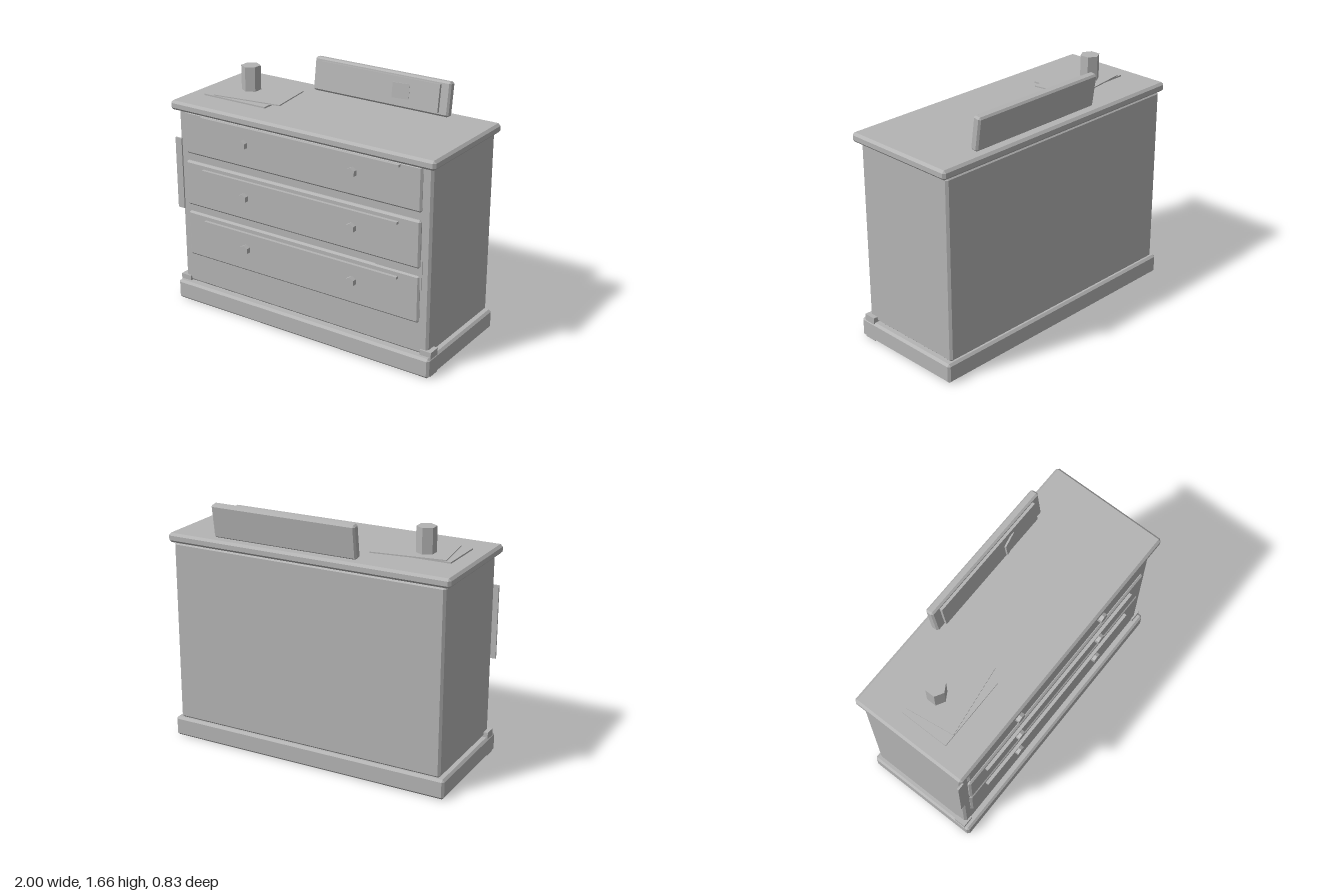
import * as THREE from 'three';
import { ConvexGeometry } from 'three/addons/geometries/ConvexGeometry.js';

const grey = new THREE.MeshStandardMaterial({ color: 0xb4b4b4, flatShading: true });
grey.name = 'plain grey';

// Box given by its limits, with one flat chamfer of size c on every edge
function chamferBox([x0, x1], [y0, y1], [z0, z1], c) {
  const h = [(x1 - x0) / 2, (y1 - y0) / 2, (z1 - z0) / 2];
  const points = [];
  for (const sx of [-1, 1]) for (const sy of [-1, 1]) for (const sz of [-1, 1]) {
    for (let face = 0; face < 3; face++) {
      const d = h.map((v, i) => (i === face ? v : v - c));
      points.push(new THREE.Vector3(sx * d[0], sy * d[1], sz * d[2]));
    }
  }
  return new ConvexGeometry(points).translate((x0 + x1) / 2, (y0 + y1) / 2, (z0 + z1) / 2);
}

function plainBox([x0, x1], [y0, y1], [z0, z1]) {
  return new THREE.BoxGeometry(x1 - x0, y1 - y0, z1 - z0)
    .translate((x0 + x1) / 2, (y0 + y1) / 2, (z0 + z1) / 2);
}

function add(parent, name, geometry) {
  const mesh = new THREE.Mesh(geometry, grey);
  mesh.name = name;
  parent.add(mesh);
  return mesh;
}

function makeDrawer(y0, y1, stripY, knobY) {
  const drawer = new THREE.Group();
  drawer.name = 'drawer';
  add(drawer, 'drawerFront', chamferBox([-0.905, 0.9], [y0, y1], [0.33, 0.383], 0.012));
  add(drawer, 'drawerStrip', plainBox([-0.755, 0.75], [stripY - 0.008, stripY + 0.008], [0.37, 0.405]));
  for (const x of [-0.42, 0.415]) {
    const knob = add(drawer, 'knob', new THREE.CylinderGeometry(0.034, 0.034, 0.045, 6));
    knob.rotation.x = Math.PI / 2;
    knob.position.set(x, knobY, 0.3925);
  }
  return drawer;
}

export function createModel() {
  const model = new THREE.Group();
  model.name = 'chestOfDrawers';

  // Carcass
  add(model, 'plinth', chamferBox([-1, 1], [0, 0.135], [-0.413, 0.415], 0.015));
  add(model, 'body', chamferBox([-0.965, 0.965], [0.133, 1.375], [-0.397, 0.368], 0.015));
  add(model, 'top', chamferBox([-1, 1], [1.373, 1.436], [-0.413, 0.413], 0.016));

  // Corner feet running up through the plinth
  add(model, 'leftFoot', plainBox([0.915, 0.996], [0.002, 0.17], [0.295, 0.38]));
  add(model, 'rightFoot', plainBox([-0.996, -0.915], [0.002, 0.17], [0.295, 0.38]));

  // Drawers, the middle one slightly pulled out
  model.add(makeDrawer(1.08, 1.373, 1.352, 1.238));
  const middle = makeDrawer(0.715, 1.03, 0.987, 0.873);
  middle.position.z = 0.005;
  model.add(middle);
  model.add(makeDrawer(0.345, 0.665, 0.62, 0.505));

  // Thin plates on the front
  add(model, 'rightSidePlate', plainBox([-0.997, -0.945], [0.67, 1.17], [0.366, 0.378]));
  add(model, 'patchPlate', plainBox([0.583, 0.912], [0.572, 0.768], [0.36, 0.373]));

  // Two loose sheets and a hexagonal cup
  const lower = add(model, 'lowerSheet', new THREE.BoxGeometry(0.495, 0.01, 0.335));
  lower.position.set(-0.6325, 1.441, 0.0325);
  const upper = add(model, 'upperSheet', new THREE.BoxGeometry(0.49, 0.008, 0.33));
  upper.position.set(-0.582, 1.449, 0);
  upper.rotation.y = 0.138;
  const cup = add(model, 'cup', new THREE.CylinderGeometry(0.065, 0.065, 0.18, 6));
  cup.position.set(-0.67, 1.53, -0.035);

  // Framed panel leaning back
  const frame = new THREE.Group();
  frame.name = 'leaningFrame';
  frame.position.set(0.165, 1.548, -0.336);
  frame.rotation.x = -0.14;
  add(frame, 'frame', chamferBox([-0.515, 0.515], [-0.113, 0.113], [-0.029, 0.029], 0.012));
  add(frame, 'framePanel', plainBox([-0.45, 0.45], [-0.092, 0.092], [0.02, 0.048]));
  const tag = add(frame, 'frameTag', new THREE.BoxGeometry(0.116, 0.1, 0.012));
  tag.position.set(0.178, 0.005, 0.058);
  tag.rotation.y = 0.22;
  model.add(frame);

  return model;
}
